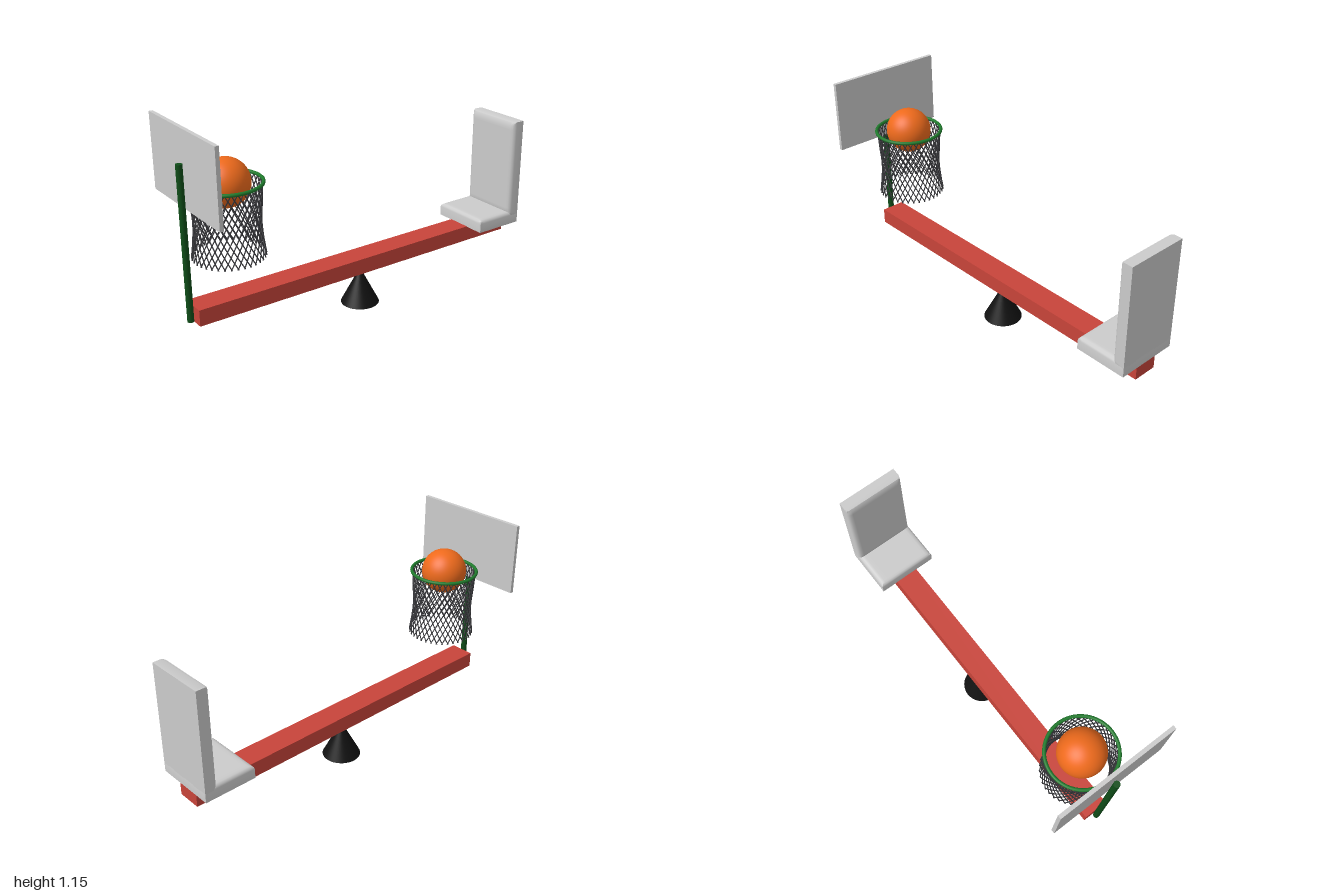
import * as THREE from 'three';
import { toCreasedNormals, mergeGeometries } from 'three/addons/utils/BufferGeometryUtils.js';

const paint = (color) => new THREE.MeshStandardMaterial({ color });
const GREY = paint(0xcccccc), RED = paint(0xc8443a), GREEN = paint(0x0f4d18),
  RIM_GREEN = paint(0x1f7a2c), BLACK = paint(0x111111), ORANGE = paint(0xee6a1c), CORD = paint(0x3a3a3e);

function part(name, geometry, material, x = 0, y = 0, z = 0) {
  const mesh = new THREE.Mesh(geometry, material);
  mesh.name = name;
  mesh.position.set(x, y, z);
  return mesh;
}

// Flat-bottomed pad (thickness along y) whose upper edges roll off in a quarter round
function cushion(w, t, d, r) {
  const n = 16;
  const geo = new THREE.BoxGeometry(w, t, d, n, 1, n);
  const p = geo.attributes.position;
  // crowd the grid lines towards the rim
  const spread = (v, size) => Math.sin((v / size) * Math.PI) * size / 2;
  const drop = (v, size) => {
    const e = Math.max(0, r - (size / 2 - Math.abs(v)));
    return r - Math.sqrt(Math.max(0, r * r - e * e));
  };
  for (let i = 0; i < p.count; i++) {
    const x = spread(p.getX(i), w), z = spread(p.getZ(i), d);
    let y = p.getY(i);
    if (y > 0) y -= Math.max(drop(x, w), drop(z, d));
    p.setXYZ(i, x, y, z);
  }
  return toCreasedNormals(geo, 0.7);
}

// Net of two opposed families of helical cords on a waisted tube
function netGeometry(top, bottom) {
  const waist = new THREE.CatmullRomCurve3(
    [[0.172, 0], [0.167, 0.25], [0.161, 0.5], [0.166, 0.75], [0.178, 1]]
      .map(([r, t]) => new THREE.Vector3(r, t, 0)));
  const cords = 36, twist = 1.15, steps = 12, pieces = [];
  for (const dir of [-1, 1]) {
    const points = [];
    for (let i = 0; i <= steps; i++) {
      const t = i / steps, r = waist.getPoint(t).x, a = dir * twist * t;
      points.push(new THREE.Vector3(r * Math.sin(a), top + (bottom - top) * t, r * Math.cos(a)));
    }
    const cord = new THREE.TubeGeometry(new THREE.CatmullRomCurve3(points), 20, 0.003, 5);
    for (let k = 0; k < cords; k++) pieces.push(cord.clone().rotateY((k / cords) * Math.PI * 2));
  }
  return mergeGeometries(pieces);
}

export function createModel() {
  const model = new THREE.Group();
  model.name = 'seesawWithHoop';

  // Seesaw
  model.add(part('pivotCone', new THREE.ConeGeometry(0.103, 0.2, 48), BLACK, 0, 0.1, -0.01));
  model.add(part('beam', new THREE.BoxGeometry(0.132, 0.085, 1.957), RED, -0.001, 0.2375, -0.0115));

  // Seat at the far end
  const seat = new THREE.Group();
  seat.name = 'seat';
  seat.add(part('seatPad', cushion(0.338, 0.071, 0.285, 0.02), GREY, 0.006, 0.3135, -0.8575));
  const back = part('backrest', cushion(0.338, 0.07, 0.555, 0.022), GREY, 0.006, 0.6025, -0.965);
  back.rotation.x = Math.PI / 2;
  seat.add(back);
  model.add(seat);

  // Hoop at the near end
  const hoop = new THREE.Group();
  hoop.name = 'hoop';
  hoop.add(part('pole', new THREE.CylinderGeometry(0.0165, 0.0165, 0.79, 24), GREEN, 0, 0.595, 0.9835));
  hoop.add(part('backboard', new THREE.BoxGeometry(0.65, 0.385, 0.02), GREY, 0, 0.9625, 0.956));
  const rim = part('rim', new THREE.TorusGeometry(0.177, 0.009, 12, 64), RIM_GREEN, 0, 0.855, 0.76);
  rim.rotation.x = Math.PI / 2;
  hoop.add(rim);
  hoop.add(part('net', netGeometry(0.853, 0.485), CORD, 0, 0, 0.76));
  hoop.add(part('ball', new THREE.SphereGeometry(0.121, 48, 32), ORANGE, 0, 0.855, 0.76));
  model.add(hoop);

  return model;
}
